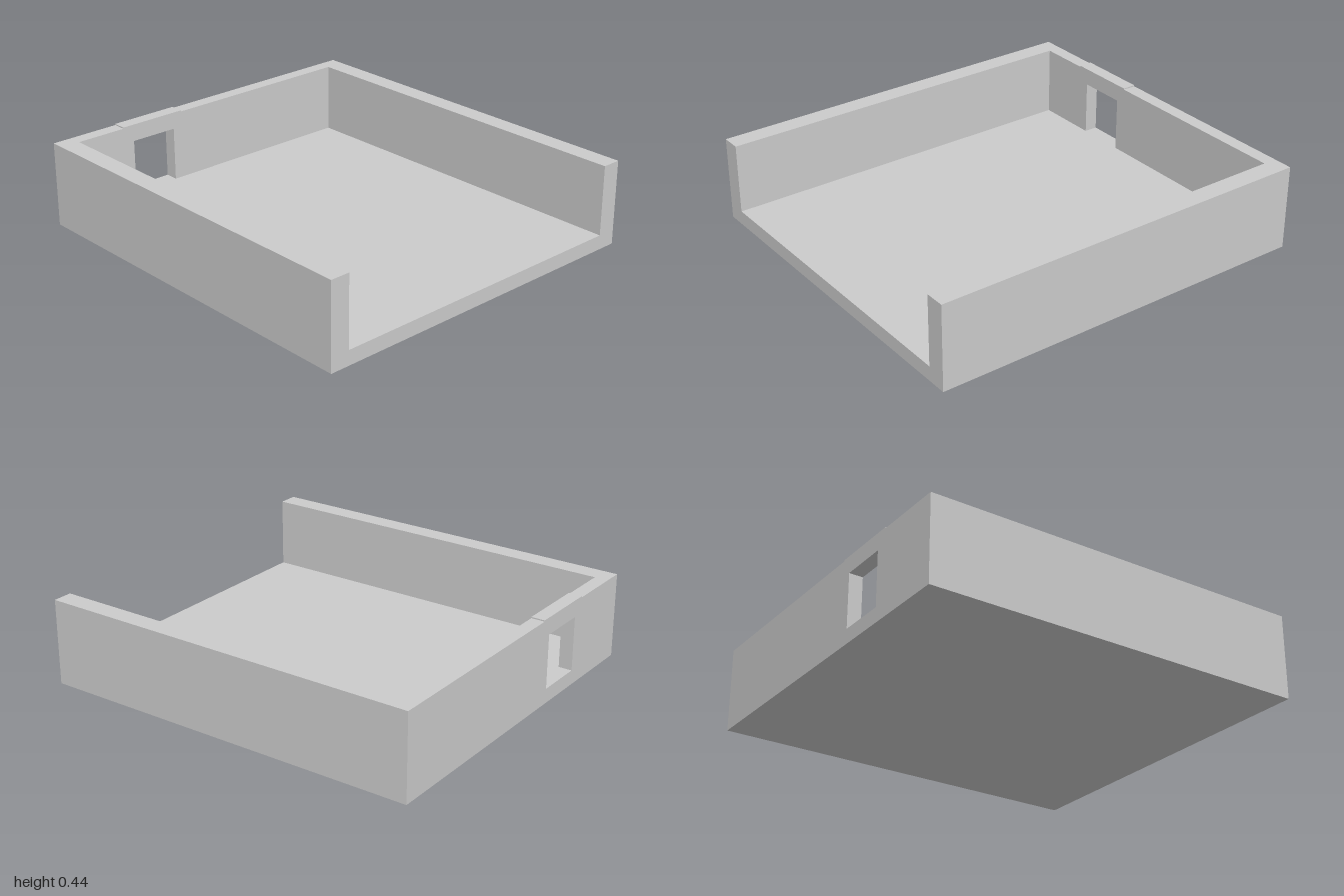
import * as THREE from 'three';

const W = 1, D = 0.925;      // half width and half depth
const FLOOR = 0.075, TOP = 0.435;
const INNER_Z = 0.825, INNER_X = -0.93;

export function createModel() {
  const model = new THREE.Group();
  const material = new THREE.MeshStandardMaterial({ color: 0xcccccc, flatShading: true });

  // Box given by its extents along each axis
  const block = (name, [x0, x1], [y0, y1], [z0, z1]) => {
    const mesh = new THREE.Mesh(new THREE.BoxGeometry(x1 - x0, y1 - y0, z1 - z0), material);
    mesh.position.set((x0 + x1) / 2, (y0 + y1) / 2, (z0 + z1) / 2);
    mesh.name = name;
    model.add(mesh);
  };

  block('floor', [-W, W], [0, FLOOR], [-D, D]);

  // Long walls, open at the +x end
  block('frontWall', [-W, W], [FLOOR, TOP], [INNER_Z, D]);
  block('backWall', [-W, W], [FLOOR, TOP], [-D, -INNER_Z]);

  // End wall on the -x side, split around the doorway
  const end = [-W, INNER_X];
  block('endWallBack', end, [FLOOR, TOP], [-INNER_Z, 0.25]);
  block('endWallFront', end, [FLOOR, TOP], [0.5, INNER_Z]);
  block('doorHeader', end, [0.353, TOP], [0.25, 0.5]);

  // Slightly raised lintel cap above the doorway
  block('lintelCap', end, [TOP, 0.441], [0.2, 0.56]);

  return model;
}
